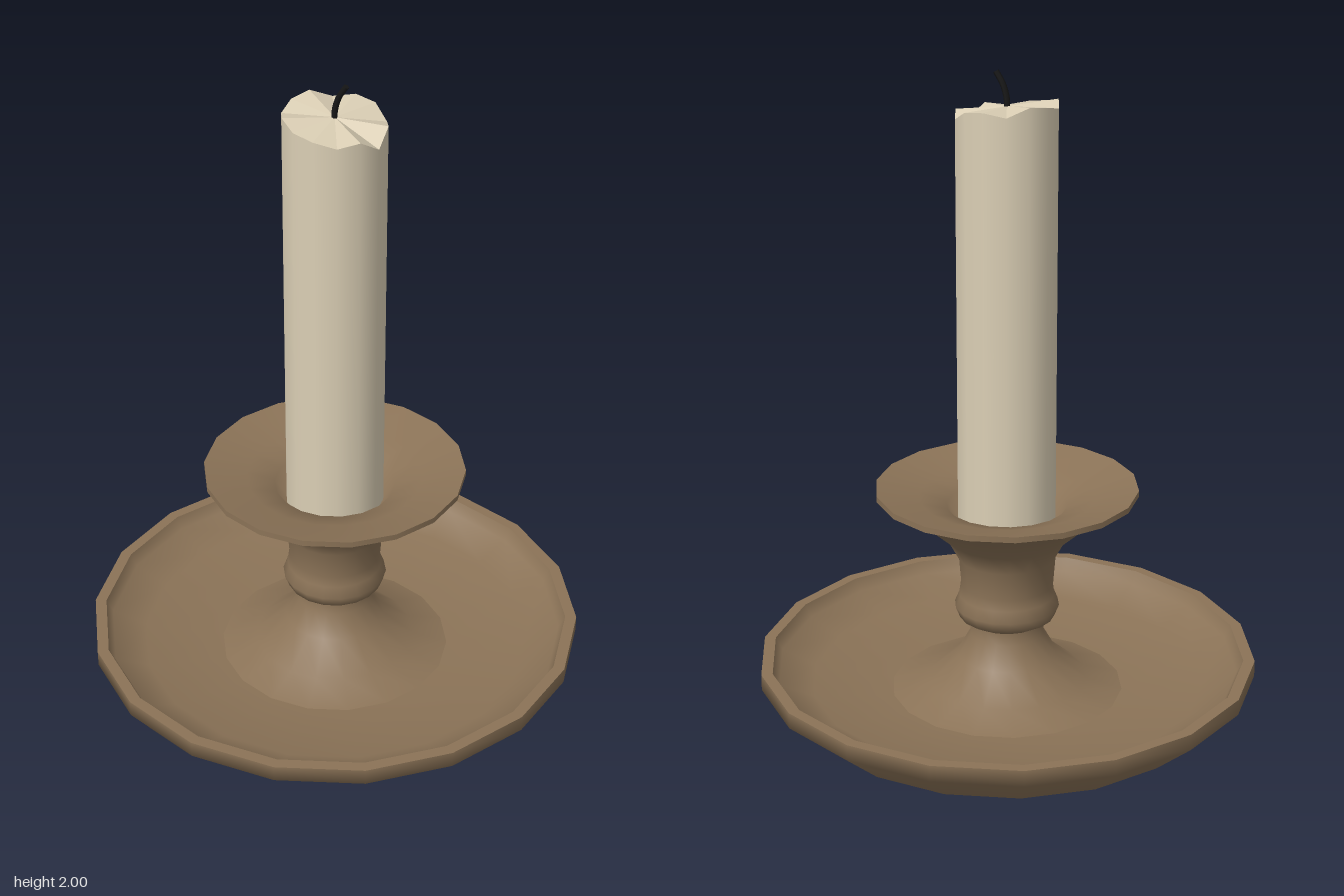
import * as THREE from 'three';

const brass = new THREE.MeshStandardMaterial({ color: 0x8b7357 });
brass.name = 'agedBrass';
const wax = new THREE.MeshStandardMaterial({ color: 0xdbcfb5 });
wax.name = 'wax';
const black = new THREE.MeshStandardMaterial({ color: 0x161616 });
black.name = 'charredWick';

const HOLDER_SIDES = 18;
const CANDLE_SIDES = 14;
const CANDLE_RADIUS = 0.152;

// Each profile runs from the underside, outwards and up, then back inwards.
function turned(parent, name, points) {
  const profile = points.map(([r, y]) => new THREE.Vector2(r, y));
  const mesh = new THREE.Mesh(
    new THREE.LatheGeometry(profile, HOLDER_SIDES, Math.PI / 2), brass);
  mesh.name = name;
  parent.add(mesh);
}

function createDish() {
  const dish = new THREE.Group();
  dish.name = 'dish';
  turned(dish, 'dishUnderside', [[0, 0.003], [0.3, 0.017], [0.605, 0.036]]);
  turned(dish, 'footRingInside', [[0.605, 0.036], [0.615, 0.018]]);
  turned(dish, 'footRing', [[0.615, 0.018], [0.64, 0.018]]);
  turned(dish, 'dishOutside', [[0.64, 0.018], [0.77, 0.13], [0.77, 0.18]]);
  turned(dish, 'dishRim', [[0.77, 0.18], [0.735, 0.18]]);
  turned(dish, 'dishInside', [
    [0.735, 0.18], [0.715, 0.14], [0.61, 0.09], [0.36, 0.062], [0, 0.055]]);
  return dish;
}

function createStem() {
  const stem = new THREE.Group();
  stem.name = 'stem';
  // Flared base, narrow neck
  turned(stem, 'stemBase', [[0.36, 0.062], [0.25, 0.095], [0.155, 0.175], [0.115, 0.245], [0.113, 0.285]]);
  // Rounded collar and trumpet-shaped cup
  turned(stem, 'collarAndCup', [
    [0.113, 0.285], [0.148, 0.305], [0.162, 0.34], [0.148, 0.375], [0.143, 0.41],
    [0.15, 0.5], [0.185, 0.565], [0.29, 0.658], [0.402, 0.712]]);
  turned(stem, 'cupEdge', [[0.402, 0.712], [0.402, 0.73]]);
  turned(stem, 'cupInside', [[0.402, 0.73], [0.27, 0.697], [0.185, 0.67], [0.15, 0.62], [0, 0.6]]);
  return stem;
}

function createCandle() {
  const candle = new THREE.Group();
  candle.name = 'candle';
  // Uneven melted edge, starting at the front and turning towards +x
  const edge = [1.885, 1.87, 1.88, 1.84, 1.882, 1.865, 1.897, 1.905, 1.893, 1.92, 1.912, 1.897, 1.912, 1.895];

  const side = new THREE.CylinderGeometry(
    CANDLE_RADIUS, CANDLE_RADIUS, 1, CANDLE_SIDES, 1, true);
  const top = new THREE.ConeGeometry(CANDLE_RADIUS, 1, CANDLE_SIDES, 1, true);
  const row = CANDLE_SIDES + 1;
  for (let i = 0; i < row; i++) {
    const y = edge[i % CANDLE_SIDES];
    side.attributes.position.setY(i, y);
    side.attributes.position.setY(row + i, 0.61);
    top.attributes.position.setY(i, 1.897);
    top.attributes.position.setY(row + i, y);
  }
  const facets = top.toNonIndexed();
  facets.computeVertexNormals();

  const body = new THREE.Mesh(side, wax);
  body.name = 'candleBody';
  const melted = new THREE.Mesh(facets, wax);
  melted.name = 'meltedTop';
  candle.add(body, melted);
  return candle;
}

function createWick() {
  const wick = new THREE.Group();
  wick.name = 'wick';
  const path = new THREE.CatmullRomCurve3([
    [0, 1.88, 0], [0, 1.915, 0], [0.012, 1.958, 0], [0.035, 1.995, 0],
  ].map((p) => new THREE.Vector3(...p)));
  const strand = new THREE.Mesh(new THREE.TubeGeometry(path, 8, 0.009, 6), black);
  strand.name = 'wickStrand';
  // Close the burnt tip
  const tip = new THREE.Mesh(new THREE.CircleGeometry(0.009, 6), black);
  tip.name = 'wickTip';
  tip.position.copy(path.getPoint(1));
  tip.lookAt(path.getPoint(1).add(path.getTangent(1)));
  wick.add(strand, tip);
  return wick;
}

export function createModel() {
  const model = new THREE.Group();
  model.name = 'candlestick';
  model.add(createDish(), createStem(), createCandle(), createWick());
  return model;
}
